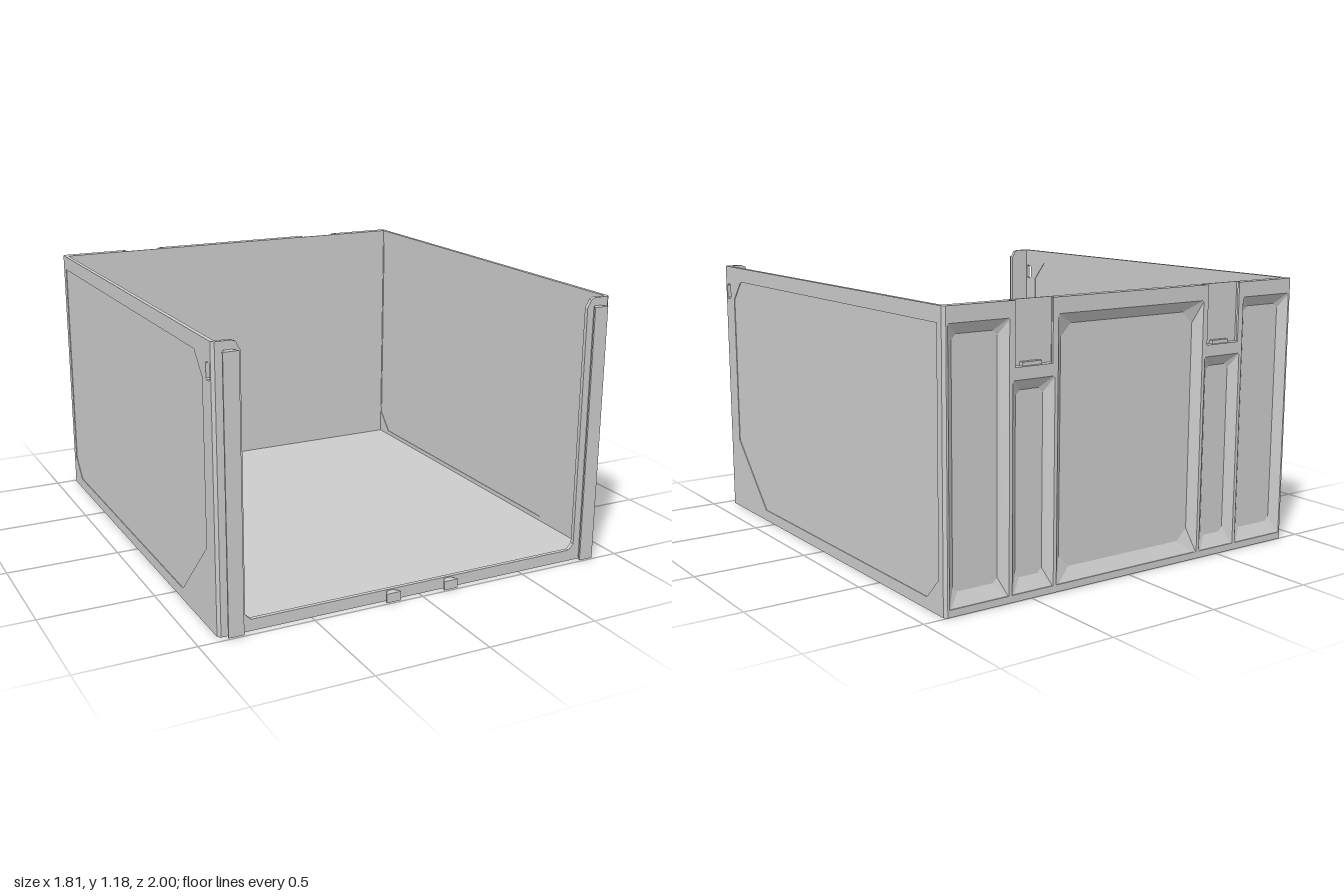
import * as THREE from 'three';

const W = 0.905, H = 1.185, FRONT = 0.97, BACK = -1;
const grey = new THREE.MeshStandardMaterial({ color: 0xcccccc, flatShading: true });
const thin = new THREE.MeshStandardMaterial({ color: 0xcccccc, flatShading: true, side: THREE.DoubleSide });

const vecs = (pts) => pts.map(([x, y]) => new THREE.Vector2(x, y));

// Extrude an outline with optional holes along z, starting at z0
function slab(outline, z0, depth, holes = []) {
  const shape = new THREE.Shape(vecs(outline));
  holes.forEach((h) => shape.holes.push(new THREE.Path(vecs(h))));
  return new THREE.ExtrudeGeometry(shape, { depth, bevelEnabled: false }).translate(0, 0, z0);
}

// Extrude a plan outline given as (x, z) upward from y0
function column(plan, y0, height) {
  return slab(plan.map(([x, z]) => [x, -z]), 0, height).rotateX(-Math.PI / 2).translate(0, y0, 0);
}

// Rectangle with cut corners
function cutRect(x0, x1, y0, y1, c) {
  return [[x0 + c, y0], [x1 - c, y0], [x1, y0 + c], [x1, y1 - c],
    [x1 - c, y1], [x0 + c, y1], [x0, y1 - c], [x0, y0 + c]];
}

// Sloping walls between two outlines at different z
function slopedRing(outer, zOuter, inner, zInner) {
  const pos = [];
  outer.forEach((a, i) => {
    const j = (i + 1) % outer.length;
    const [A, B] = [[...a, zOuter], [...outer[j], zOuter]];
    const [C, D] = [[...inner[i], zInner], [...inner[j], zInner]];
    pos.push(...A, ...C, ...B, ...B, ...C, ...D);
  });
  const g = new THREE.BufferGeometry();
  g.setAttribute('position', new THREE.Float32BufferAttribute(pos, 3));
  g.computeVertexNormals();
  return g;
}

export function createModel() {
  const model = new THREE.Group();
  const add = (parent, name, geo, mat = grey) => {
    const m = new THREE.Mesh(geo, mat);
    m.name = name;
    parent.add(m);
    return m;
  };
  const group = (name) => {
    const g = new THREE.Group();
    g.name = name;
    model.add(g);
    return g;
  };

  // Floor with cut corners
  const c = 0.012;
  add(model, 'floor', column(cutRect(-W, W, BACK, FRONT, c), 0, 0.03));

  // Side walls: a core with a window, framed on both faces around a shallow panel
  const wall = [[-0.985, 0], [FRONT - c, 0], [FRONT - c, H], [-0.985, H]];
  const panel = [[0.87, 1.03], [0.79, 1.12], [-0.955, 1.12], [-0.955, 0.14],
    [-0.87, 0.05], [0.585, 0.05], [0.87, 0.34]];
  const window = cutRect(0.91, 0.946, 1.03, 1.1, 0.006);
  for (const [side, s] of [['left', 1], ['right', -1]]) {
    const g = group(side + 'Wall');
    add(g, 'wallCore', slab(wall, -0.006, 0.012, [window]).rotateY(-Math.PI / 2));
    for (const z of [-0.009, 0.006])
      add(g, 'panelFrame', slab(wall, z, 0.003, [panel, window]).rotateY(-Math.PI / 2));
    g.position.x = s * (W - 0.009);
  }

  // Bevelled vertical corners
  const corners = group('cornerPosts');
  for (const s of [1, -1]) {
    for (const [z, d] of [[BACK, 1], [FRONT, -1]]) {
      const plan = [[s * (W - c), z], [s * W, z + d * c], [s * W, z + d * 0.018],
        [s * (W - c), z + d * 0.018]];
      if (s * d < 0) plan.reverse();
      add(corners, 'cornerPost', column(plan, 0, H));
    }
  }

  // Front frame: two side flanges joined by a low sill
  const fx = W - c;
  add(model, 'frontFrame', slab([
    [-fx, 0], [fx, 0], [fx, H], [0.825, H], [0.807, H - 0.008], [0.8, H - 0.025], [0.79, H - 0.04],
    [0.79, 0.075], [0.765, 0.05], [-0.765, 0.05], [-0.79, 0.075],
    [-0.79, H - 0.04], [-0.8, H - 0.025], [-0.807, H - 0.008], [-0.825, H], [-fx, H],
  ], 0.952, 0.018));

  // Dovetail rails on the flanges and short dovetail feet on the sill
  const dovetail = (x) => [[x - 0.018, 0.968], [x + 0.018, 0.968], [x + 0.018, 0.977],
    [x + 0.033, 0.992], [x + 0.033, 1], [x - 0.033, 1], [x - 0.033, 0.992], [x - 0.018, 0.977]];
  const rails = group('dovetails');
  for (const s of [1, -1]) {
    add(rails, 'rail', column(dovetail(s * 0.84), 0.005, 1.145));
    add(rails, 'sillDovetail', column(dovetail(s * 0.138), 0.005, 0.04));
  }

  // Back wall: thin inner sheet, and an outer layer pierced by pockets and hanger slots
  const back = group('backWall');
  const zIn = -0.967;
  add(back, 'backSheet', new THREE.BoxGeometry(2 * fx, H, 0.007).translate(0, H / 2, zIn + 0.0035));

  const pockets = [[-0.38, 0.38, 1.12]];
  for (const s of [1, -1]) {
    pockets.push(s > 0 ? [0.395, 0.595, 0.88] : [-0.595, -0.395, 0.88]);
    pockets.push(s > 0 ? [0.61, 0.885, 1.12] : [-0.885, -0.61, 1.12]);
  }
  const mouths = pockets.map(([x0, x1, top]) => cutRect(x0, x1, 0.02, top, 0.004));
  const slotY = 0.93;
  add(back, 'ribbedLayer', slab([
    [-fx, 0], [fx, 0], [fx, H], [0.6, H], [0.6, slotY], [0.39, slotY], [0.39, H],
    [-0.39, H], [-0.39, slotY], [-0.6, slotY], [-0.6, H], [-fx, H],
  ], BACK, zIn - BACK, mouths));
  pockets.forEach(([x0, x1, top], i) => {
    const inner = cutRect(x0 + 0.035, x1 - 0.035, 0.085, top - 0.045, x1 - x0 > 0.5 ? 0.05 : 0.02);
    add(back, 'pocketSlope', slopedRing(mouths[i], BACK, inner, zIn - 0.0005), thin);
  });

  // Small catches and overhanging lips in the hanger slots
  for (const s of [1, -1]) {
    add(back, 'slotCatch', new THREE.BoxGeometry(0.09, 0.016, 0.02).translate(s * 0.495, slotY + 0.007, -0.977));
    for (const e of [-1, 1])
      add(back, 'slotLip', new THREE.BoxGeometry(0.016, H - slotY, 0.01)
        .translate(s * 0.495 + e * 0.097, (H + slotY) / 2, -0.995));
  }
  return model;
}
